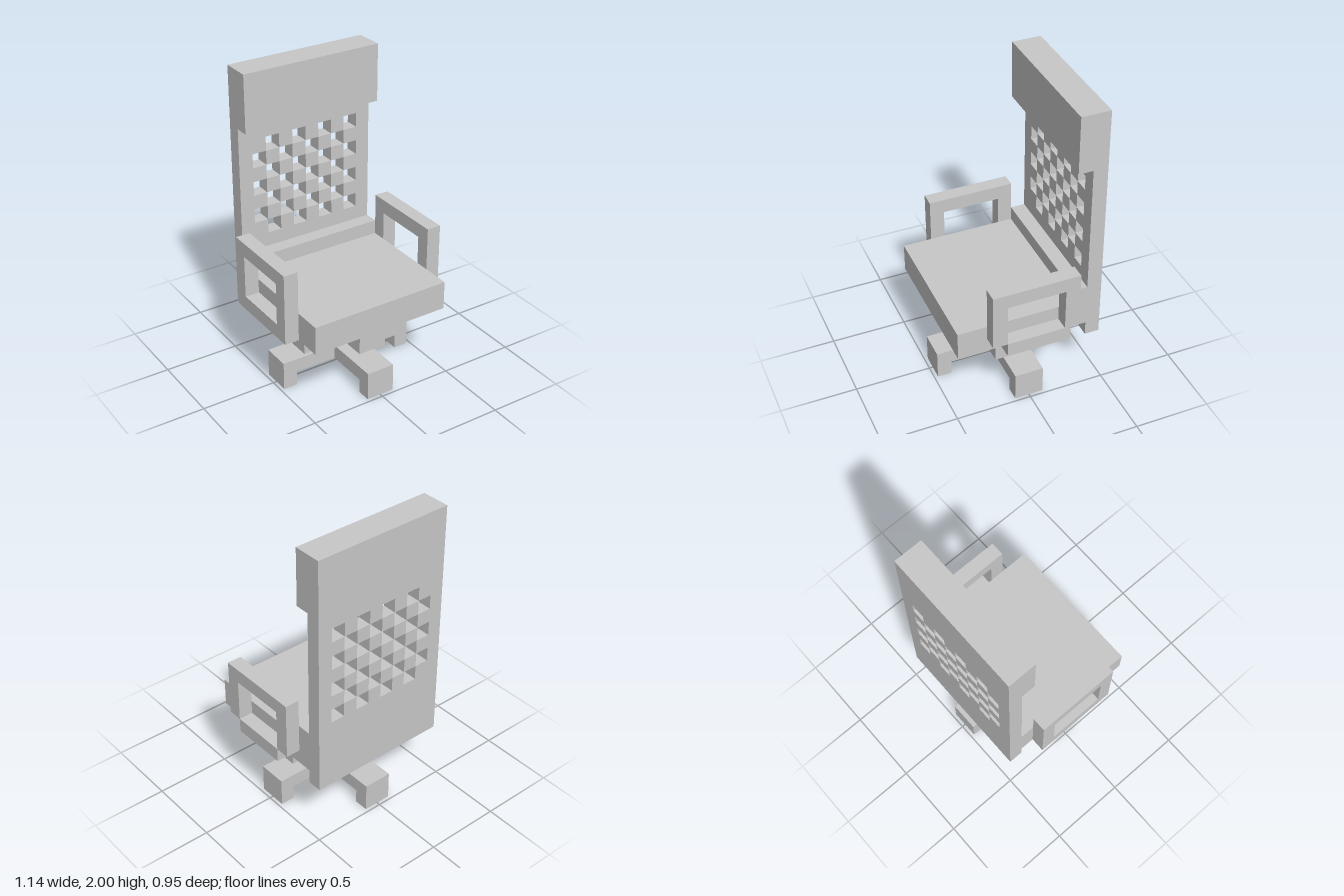
import * as THREE from 'three';

const U = 2 / 21; // one block of the grid the chair is built on

export function createModel() {
  const chair = new THREE.Group();
  chair.name = 'officeChair';
  const grey = new THREE.MeshStandardMaterial({ color: 0xc8c8c8 });
  grey.name = 'light grey';

  const group = (name) => {
    const g = new THREE.Group();
    g.name = name;
    chair.add(g);
    return g;
  };

  // Box between two corners, given in blocks
  const block = (parent, name, [x0, x1], [y0, y1], [z0, z1]) => {
    const geo = new THREE.BoxGeometry((x1 - x0) * U, (y1 - y0) * U, (z1 - z0) * U);
    geo.translate((x0 + x1) * U / 2, (y0 + y1) * U / 2, (z0 + z1) * U / 2);
    const mesh = new THREE.Mesh(geo, grey);
    mesh.name = name;
    parent.add(mesh);
  };

  // Cross-shaped base with four feet
  const base = group('base');
  block(base, 'crossBar', [-5, 5], [1, 2], [-1, 1]);
  for (const s of [-1, 1]) {
    const leg = s > 0 ? [1, 5] : [-5, -1];
    const foot = s > 0 ? [4, 5] : [-5, -4];
    block(base, 'leg', [-1, 1], [1, 2], leg);
    block(base, 'foot', [-1, 1], [0, 1], foot);
    block(base, 'foot', foot, [0, 1], [-1, 1]);
  }

  // Post and the tilt mechanism under the seat
  const support = group('seatSupport');
  block(support, 'post', [-1, 1], [2, 3], [-1, 1]);
  block(support, 'centreBeam', [-1, 1], [3, 5], [-1, 4]);
  for (const s of [-1, 1]) {
    block(support, 'sideBeam', s > 0 ? [1, 3] : [-3, -1], [3, 4], [-1, 1]);
    block(support, 'lever', s > 0 ? [3, 4] : [-4, -3], [3, 4], [-1, 2]);
  }

  // Seat with a raised ledge at the rear
  const seat = group('seat');
  block(seat, 'cushion', [-5, 5], [5, 7], [-4, 5]);
  block(seat, 'rearLedge', [-5, 5], [7, 8], [-4, -3]);

  // Backrest: solid frame around a chequered grille
  const back = group('backrest');
  const depth = [-5, -4];
  block(back, 'lowerPanel', [-5, 5], [4, 9], depth);
  block(back, 'upperPanel', [-5, 5], [16, 21], depth);
  block(back, 'rightStile', [-5, -4], [9, 16], depth);
  block(back, 'leftStile', [4, 5], [9, 16], depth);
  for (let y = 9; y < 16; y++) {
    for (let x = y % 2 ? -4 : -3; x < 4; x += 2) {
      block(back, 'grilleBlock', [x, x + 1], [y, y + 1], depth);
    }
  }
  block(back, 'headrest', [-5, 5], [17, 21], [-4, -3]);

  // Armrests; the left one's posts stop one block higher
  for (const [name, x, bottom] of [['leftArmrest', [5, 6], 6], ['rightArmrest', [-6, -5], 5]]) {
    const arm = group(name);
    block(arm, 'armTop', x, [9, 10], [-3, 3]);
    block(arm, 'frontPost', x, [bottom, 9], [2, 3]);
    block(arm, 'rearPost', x, [bottom, 9], [-3, -2]);
    block(arm, 'lowerRail', x, [5, 6], [-2, 2]);
  }

  return chair;
}
